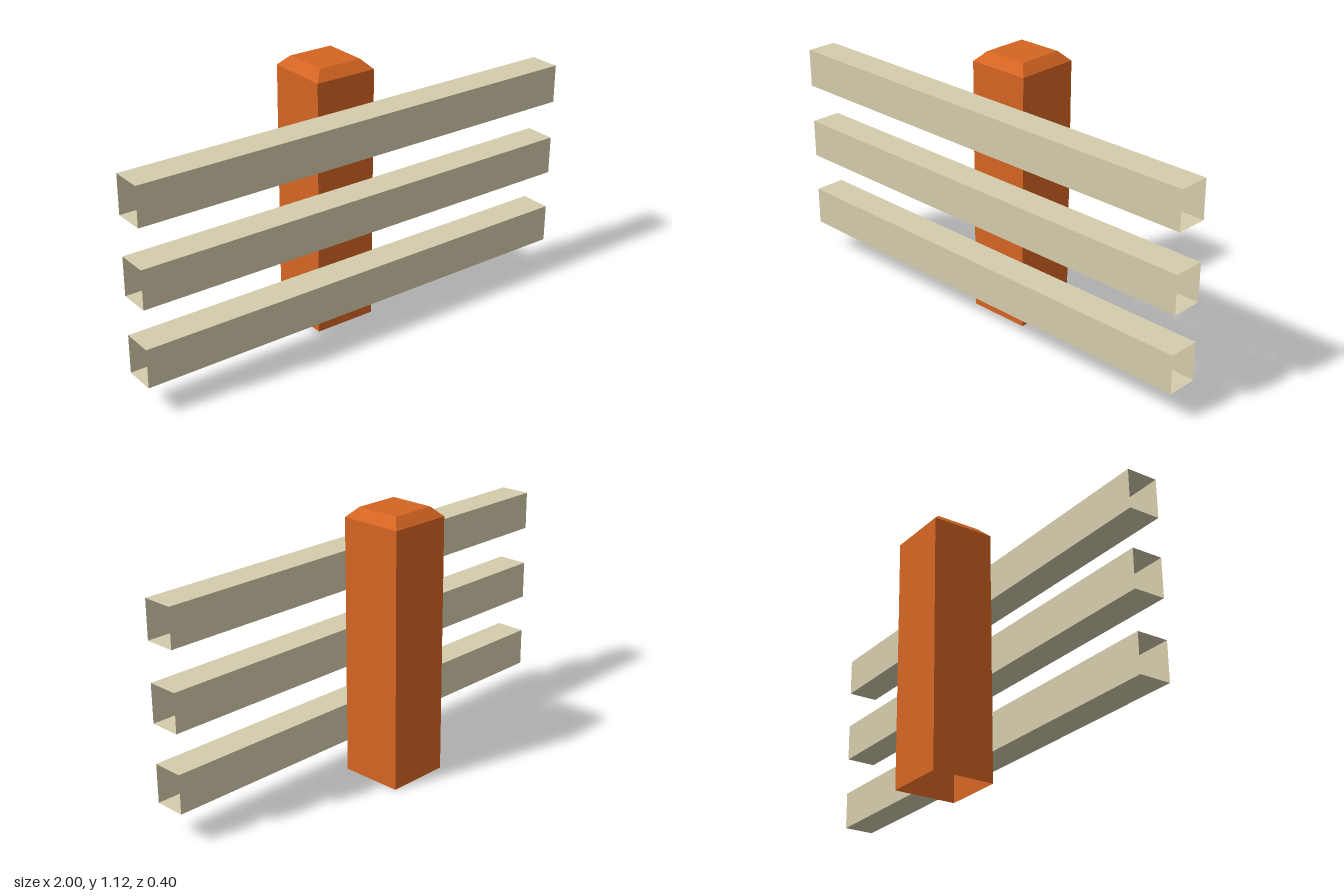
import * as THREE from 'three';

const postOrange = new THREE.MeshStandardMaterial({ color: 0xd46522, flatShading: true, side: THREE.DoubleSide });
const railBeige = new THREE.MeshStandardMaterial({ color: 0xd4ccac, flatShading: true, side: THREE.DoubleSide });

// Square-sectioned solid from [half width, height] pairs, bottom to top
function squareLathe(profile) {
  const points = profile.map(([half, y]) => new THREE.Vector2(half * Math.SQRT2, y));
  return new THREE.LatheGeometry(points, 4, Math.PI / 4);
}

export function createModel() {
  const model = new THREE.Group();
  model.name = 'fenceSection';

  // Post with chamfered top, open underneath
  const post = new THREE.Mesh(squareLathe([[0.135, 0], [0.135, 1.08], [0.096, 1.12], [0, 1.12]]), postOrange);
  post.name = 'post';
  post.position.z = -0.065;
  model.add(post);

  // Three hollow rails, open at both ends, fixed to the front of the post
  const railGeometry = squareLathe([[0.5, -1], [0.5, 1]]);
  railGeometry.rotateZ(-Math.PI / 2);
  railGeometry.scale(1, 0.162, 0.132);
  ['lowerRail', 'middleRail', 'upperRail'].forEach((name, i) => {
    const rail = new THREE.Mesh(railGeometry, railBeige);
    rail.name = name;
    rail.position.set(0, 0.212 + i * 0.326, 0.135);
    model.add(rail);
  });

  return model;
}
